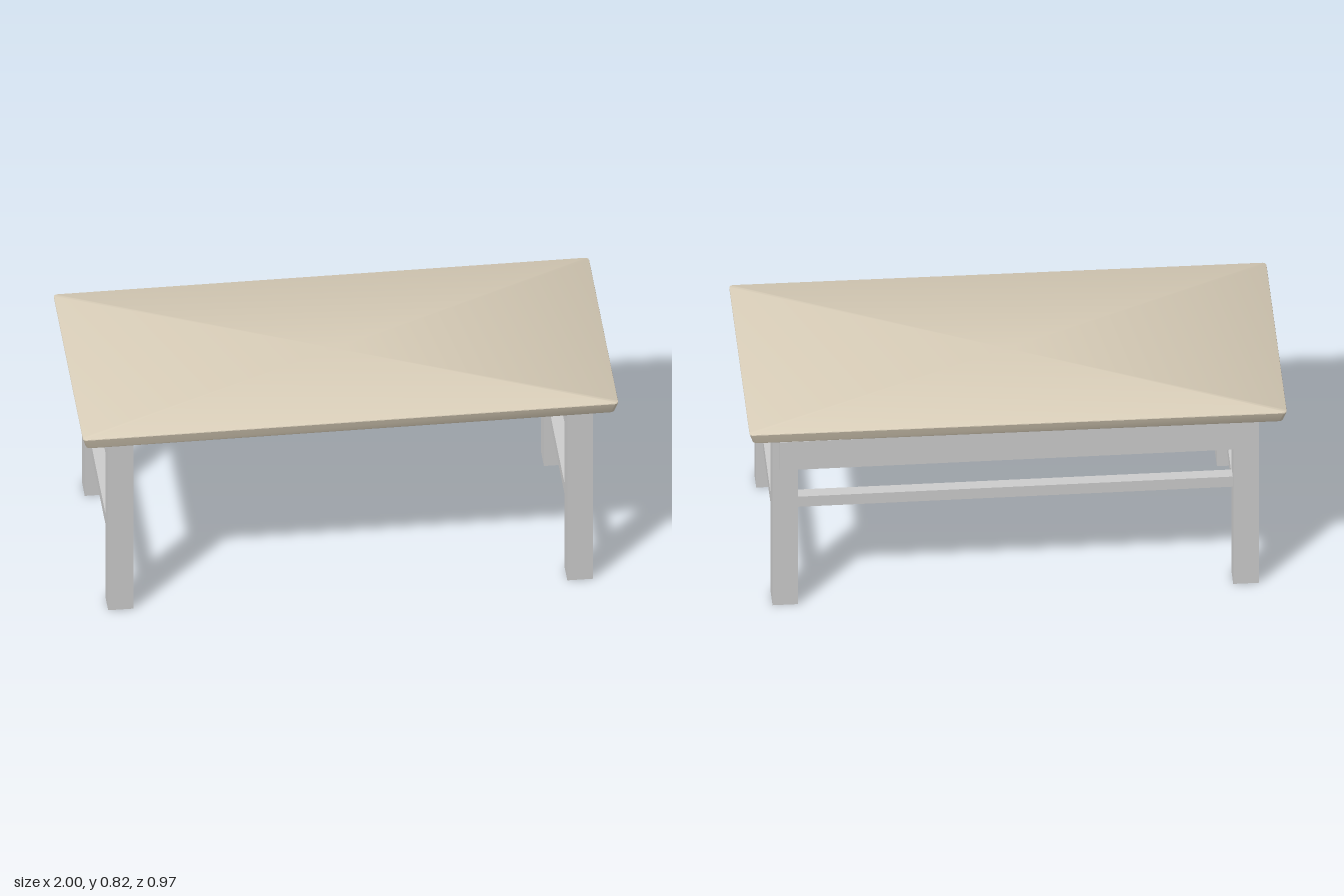
import * as THREE from 'three';
import { toCreasedNormals } from 'three/addons/utils/BufferGeometryUtils.js';

const grey = new THREE.MeshStandardMaterial({ color: 0xcccccc });
const greyOpen = new THREE.MeshStandardMaterial({ color: 0xcccccc, side: THREE.DoubleSide });
const beige = new THREE.MeshStandardMaterial({ color: 0xd8cdb8 });

// Box given by its extents on each axis
function box(name, [x0, x1], [y0, y1], [z0, z1], material = grey) {
  const mesh = new THREE.Mesh(new THREE.BoxGeometry(x1 - x0, y1 - y0, z1 - z0), material);
  mesh.position.set((x0 + x1) / 2, (y0 + y1) / 2, (z0 + z1) / 2);
  mesh.name = name;
  return mesh;
}

// One horizontal rounded-rectangle ring of points
function ring(halfX, halfZ, r, y) {
  const pts = [];
  const steps = 4;
  for (let c = 0; c < 4; c++) {
    const sx = c === 0 || c === 3 ? 1 : -1;
    const sz = c < 2 ? 1 : -1;
    for (let i = 0; i <= steps; i++) {
      const a = (c + i / steps) * Math.PI / 2;
      pts.push([sx * (halfX - r) + r * Math.cos(a), y, sz * (halfZ - r) + r * Math.sin(a)]);
    }
  }
  return pts;
}

// Slab with undercut sides and softened top edge, lofted through rings
function slabGeometry(levels) {
  const rings = levels.map(([inset, y]) => ring(1 - inset, 0.484 - inset, 0.014, y));
  const n = rings[0].length;
  const verts = rings.flat(2);
  const index = [];
  for (let k = 0; k < rings.length - 1; k++) {
    for (let i = 0; i < n; i++) {
      const a = k * n + i, b = k * n + (i + 1) % n;
      index.push(a, a + n, b, b, a + n, b + n);
    }
  }
  const low = rings.length * n, high = low + 1, last = (rings.length - 1) * n;
  verts.push(0, levels[0][1], 0, 0, levels[levels.length - 1][1], 0);
  for (let i = 0; i < n; i++) {
    const j = (i + 1) % n;
    index.push(low, i, j, high, last + j, last + i);
  }
  const g = new THREE.BufferGeometry();
  g.setAttribute('position', new THREE.Float32BufferAttribute(verts, 3));
  g.setIndex(index);
  return toCreasedNormals(g, 0.6);
}

export function createModel() {
  const table = new THREE.Group();
  table.name = 'table';

  // Tabletop, very slightly tilted
  const top = new THREE.Mesh(
    slabGeometry([[0.014, 0], [0.012, 0.004], [0.001, 0.041], [0, 0.044], [0.001, 0.047], [0.004, 0.049]]), beige);
  top.name = 'tabletop';
  top.position.y = 0.77;
  top.rotation.z = 0.005;
  table.add(top);

  // Legs with recessed feet, and a low stretcher at each end
  const ends = [['left', [0.815, 0.91]], ['right', [-0.9, -0.805]]];
  const rows = [['Front', [0.337, 0.423]], ['Back', [-0.421, -0.335]]];
  for (const [side, xs] of ends) {
    for (const [row, zs] of rows) {
      const leg = box(side + row + 'Leg', xs, [0, 0.77], zs, greyOpen);
      const pos = leg.geometry.attributes.position;
      for (let i = 12; i < 16; i++) pos.setY(i, pos.getY(i) + 0.035);
      table.add(leg);
    }
    const mid = (xs[0] + xs[1]) / 2;
    table.add(box(side + 'Stretcher', [mid - 0.023, mid + 0.023], [0.181, 0.228], [-0.335, 0.337]));
  }

  // Back stretcher and hanging back panel
  table.add(box('backStretcher', [-0.805, 0.815], [0.428, 0.474], [-0.401, -0.355]));
  table.add(box('backApron', [-0.885, 0.888], [0.643, 0.77], [-0.466, -0.451]));

  return table;
}
